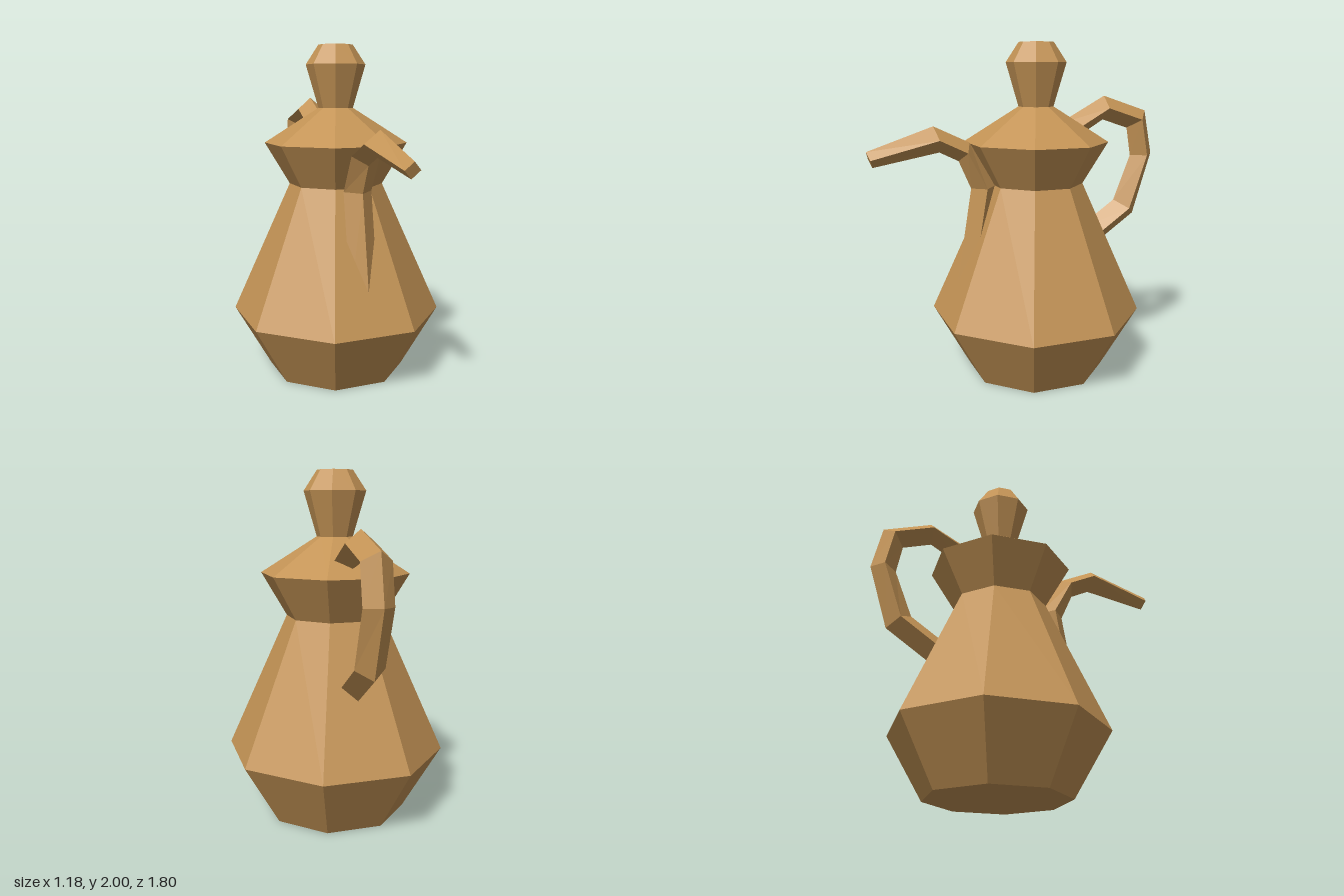
import * as THREE from 'three';

const clay = new THREE.MeshStandardMaterial({ color: 0xc39355, flatShading: true });
clay.name = 'clay brown';

const CENTRE_Z = -0.105;

// Eight-sided turned part; profile is [flat-to-centre distance, height] from bottom to top
function turned(name, profile) {
  const points = profile.map(([a, y]) => new THREE.Vector2(a / Math.cos(Math.PI / 8), y));
  const mesh = new THREE.Mesh(new THREE.LatheGeometry(points, 8, Math.PI / 8), clay);
  mesh.name = name;
  mesh.position.z = CENTRE_Z;
  return mesh;
}

// Diamond-section tube; each station is [outer z, outer y, inner z, inner y, half width]
function diamondTube(name, stations) {
  const rings = stations.map(([oz, oy, iz, iy, w]) => {
    const z = (oz + iz) / 2, y = (oy + iy) / 2;
    return [[0, oy, oz], [w, y, z], [0, iy, iz], [-w, y, z]];
  });
  const pos = [];
  const tri = (a, b, c) => pos.push(...a, ...b, ...c);
  for (let s = 0; s < rings.length - 1; s++) {
    const a = rings[s], b = rings[s + 1];
    for (let i = 0; i < 4; i++) {
      const j = (i + 1) % 4;
      tri(a[i], a[j], b[j]);
      tri(a[i], b[j], b[i]);
    }
  }
  // End caps
  const f = rings[0], l = rings[rings.length - 1];
  tri(f[0], f[3], f[2]);
  tri(f[0], f[2], f[1]);
  tri(l[0], l[1], l[2]);
  tri(l[0], l[2], l[3]);
  const geo = new THREE.BufferGeometry();
  geo.setAttribute('position', new THREE.Float32BufferAttribute(pos, 3));
  geo.computeVertexNormals();
  const mesh = new THREE.Mesh(geo, clay);
  mesh.name = name;
  return mesh;
}

export function createModel() {
  const pot = new THREE.Group();
  pot.name = 'coffeePot';

  // Bulging body, pinched neck and flared rim
  pot.add(turned('body', [[0, 0], [0.385, 0], [0.592, 0.375], [0.262, 1.17], [0.4, 1.42]]));
  // Sloping lid and its knob
  pot.add(turned('lid', [[0.4, 1.42], [0.095, 1.63], [0, 1.63]]));
  pot.add(turned('knob', [[0.095, 1.625], [0.165, 1.885], [0.095, 2], [0, 2]]));

  // Handle: from the lid, over the back and down into the body
  pot.add(diamondTube('handle', [
    [-0.25, 1.52, -0.32, 1.405, 0.085],
    [-0.555, 1.685, -0.55, 1.54, 0.085],
    [-0.845, 1.59, -0.72, 1.485, 0.085],
    [-0.9, 1.32, -0.75, 1.31, 0.085],
    [-0.78, 0.935, -0.64, 1.03, 0.085],
    [-0.46, 0.715, -0.385, 0.855, 0.085],
  ]));

  // Spout: rises out of the belly, bends forward and tapers to the tip
  pot.add(diamondTube('spout', [
    [0.4, 0.55, 0.26, 0.55, 0.087],
    [0.302, 1.16, 0.155, 1.17, 0.087],
    [0.375, 1.325, 0.307, 1.43, 0.087],
    [0.487, 1.38, 0.52, 1.53, 0.087],
    [0.868, 1.31, 0.9, 1.4, 0.045],
  ]));

  return pot;
}
